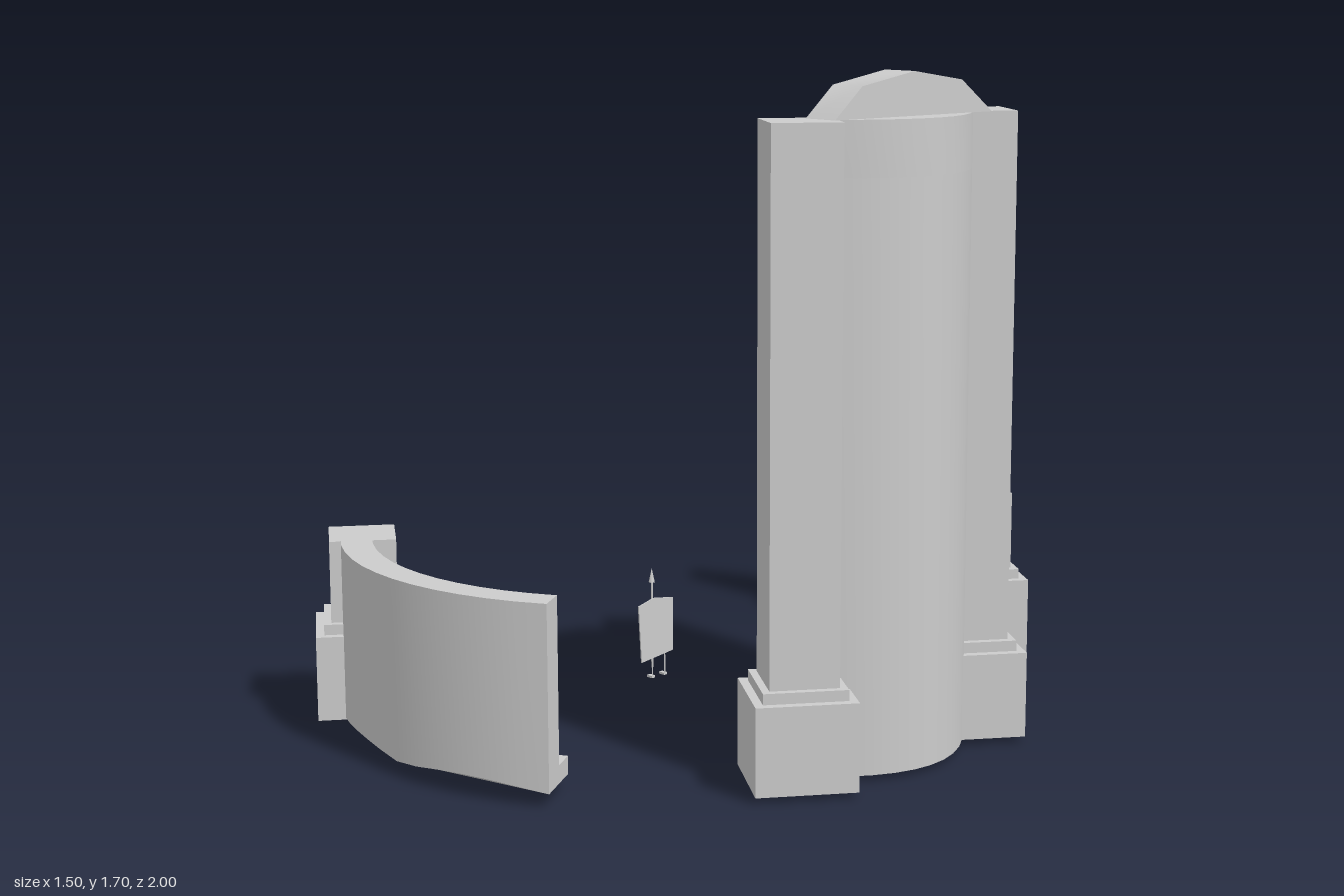
import * as THREE from 'three';
import { toCreasedNormals } from 'three/addons/utils/BufferGeometryUtils.js';

const grey = new THREE.MeshStandardMaterial({ color: 0xcccccc });
const thin = new THREE.MeshStandardMaterial({ color: 0xcccccc, side: THREE.DoubleSide });
const deg = Math.PI / 180;

function mesh(name, geometry, material = grey) {
  const m = new THREE.Mesh(geometry, material);
  m.name = name;
  return m;
}

// Upright slab from a plan outline of [x, z] points
function slab(points, y0, y1) {
  const shape = new THREE.Shape(points.map(([x, z]) => new THREE.Vector2(x, -z)));
  const g = new THREE.ExtrudeGeometry(shape, { depth: y1 - y0, bevelEnabled: false });
  g.rotateX(-Math.PI / 2).translate(0, y0, 0);
  return g;
}

// Plan points of an arc about the origin, angle measured from +z
function arc(r, a0, a1, n = 12) {
  return Array.from({ length: n + 1 }, (_, i) => {
    const a = (a0 + (a1 - a0) * i / n) * deg;
    return [r * Math.sin(a), r * Math.cos(a)];
  });
}

// Plan points of a shallow bow along z, bulging by sag in x
function bow(x, sag, z0 = -0.235, z1 = 0.295, n = 10) {
  return Array.from({ length: n + 1 }, (_, i) => {
    const t = i / n;
    return [x + sag * 4 * t * (1 - t), z0 + (z1 - z0) * t];
  });
}

// Square pillar: plinth, step and shaft
function pillar(x, z, y0, top) {
  const g = new THREE.Group();
  g.name = 'pillar';
  const parts = [
    ['pillarBase', 0.25, y0, y0 + 0.22],
    ['pillarStep', 0.207, y0 + 0.22, y0 + 0.247],
    ['pillarShaft', 0.17, y0 + 0.247, top],
  ];
  for (const [name, s, a, b] of parts) {
    const m = mesh(name, new THREE.BoxGeometry(s, b - a, s));
    m.position.y = (a + b) / 2;
    g.add(m);
  }
  g.position.set(x, 0, z);
  g.rotation.y = -34 * deg;
  return g;
}

// Low curved wall with an inner plinth and one end pillar
function curvedWall(name) {
  const g = new THREE.Group();
  g.name = name;
  const sector = (r0, r1) => [...arc(r1, -36, 33), ...arc(r0, 33, -36)];
  const body = slab(sector(0.68, 0.76), 0.035, 0.495);
  // Lower outer edge is slightly scalloped
  const p = body.attributes.position;
  for (let i = 0; i < p.count; i++) {
    const x = p.getX(i), z = p.getZ(i);
    if (p.getY(i) < 0.04 && Math.hypot(x, z) > 0.75) {
      p.setY(i, 0.035 + 0.02 * Math.abs(Math.sin(Math.atan2(x, z) / (33 * deg) * Math.PI)));
    }
  }
  g.add(mesh('wallBody', toCreasedNormals(body, 0.5)));
  g.add(mesh('wallPlinth', toCreasedNormals(slab(sector(0.61, 0.685), 0.035, 0.08), 0.5)));
  g.add(pillar(-0.458, 0.54, 0.035, 0.495));
  return g;
}

// Tall niche between two pillars
function tower() {
  const g = new THREE.Group();
  g.name = 'tower';
  for (const z of [-0.275, 0.335]) g.add(pillar(0.573, z, 0.015, 1.595));

  const outer = bow(0.6, 0.13);
  const add = (name, outline, y0, y1) =>
    g.add(mesh(name, toCreasedNormals(slab(outline, y0, y1), 0.5)));
  const back = bow(0.58, 0.12).reverse();
  add('nicheWall', [...outer, ...bow(0.565, 0.12).reverse()], 0.015, 1.46);
  add('entablature', [...outer, [0.545, 0.295], [0.545, -0.235]], 1.46, 1.595);
  add('entablatureLedge', [...back, [0.525, -0.235], [0.525, 0.295]], 1.42, 1.46);

  // Bowed balcony with a moulding above and below
  add('balcony', [...bow(0.56, -0.065), ...back], 0.67, 0.81);
  for (const y of [0.64, 0.81]) add('balconyMoulding', [...bow(0.55, -0.075), ...back], y, y + 0.03);

  // Segmental arch on top
  const profile = [[0.255, 1.595], [0.17, 1.67], [0, 1.7], [-0.16, 1.675], [-0.265, 1.595]];
  const shape = new THREE.Shape(profile.map(([z, y]) => new THREE.Vector2(-z, y)));
  const geo = new THREE.ExtrudeGeometry(shape, { depth: 0.1, bevelEnabled: false });
  geo.translate(0, 0, -0.05).rotateY(Math.PI / 2);
  const arch = mesh('topArch', toCreasedNormals(geo, 0.6));
  arch.position.set(0.6, 0, 0.03);
  arch.rotation.y = -0.05;
  g.add(arch);
  return g;
}

// Thin rod between two points
function rod(name, a, b, r) {
  const from = new THREE.Vector3(...a), to = new THREE.Vector3(...b);
  const m = mesh(name, new THREE.CylinderGeometry(r, r, from.distanceTo(to), 6));
  m.position.copy(from).add(to).multiplyScalar(0.5);
  m.quaternion.setFromUnitVectors(new THREE.Vector3(0, 1, 0), to.sub(from).normalize());
  return m;
}

// Small flat panel on legs holding a pointed pole
function panelFigure() {
  const g = new THREE.Group();
  g.name = 'panelFigure';
  const outline = [[-0.05, 0.075], [0.065, 0.06], [0.075, 0.22], [0.02, 0.235], [-0.05, 0.225]];
  const shape = new THREE.Shape(outline.map(([z, y]) => new THREE.Vector2(-z, y)));
  const panel = mesh('panel', new THREE.ExtrudeGeometry(shape, { depth: 0.004, bevelEnabled: false }), thin);
  panel.rotation.y = Math.PI / 2;
  panel.position.x = -0.302;
  g.add(panel);
  for (const z of [-0.02, 0.025]) {
    g.add(rod('leg', [-0.3, 0.012, z], [-0.3, 0.08, z], 0.002));
    const foot = mesh('foot', new THREE.BoxGeometry(0.02, 0.006, 0.012));
    foot.position.set(-0.306, 0.013, z);
    g.add(foot);
  }
  g.add(rod('pole', [-0.402, 0, -0.065], [-0.402, 0.26, -0.065], 0.003));
  const tip = mesh('poleTip', new THREE.ConeGeometry(0.009, 0.04, 6));
  tip.position.set(-0.402, 0.265, -0.065);
  g.add(tip);
  g.add(rod('upperArm', [-0.3, 0.2, -0.05], [-0.345, 0.175, -0.063], 0.002));
  g.add(rod('forearm', [-0.345, 0.175, -0.063], [-0.402, 0.15, -0.065], 0.002));
  return g;
}

export function createModel() {
  const model = new THREE.Group();
  model.name = 'ruinedCourt';
  const front = curvedWall('frontWall');
  front.position.set(-0.12, 0, 0.24);
  const rear = curvedWall('rearWall');
  rear.position.set(-0.3, 0, -0.24);
  rear.rotation.y = Math.PI;
  model.add(front, rear, tower(), panelFigure());
  return model;
}
